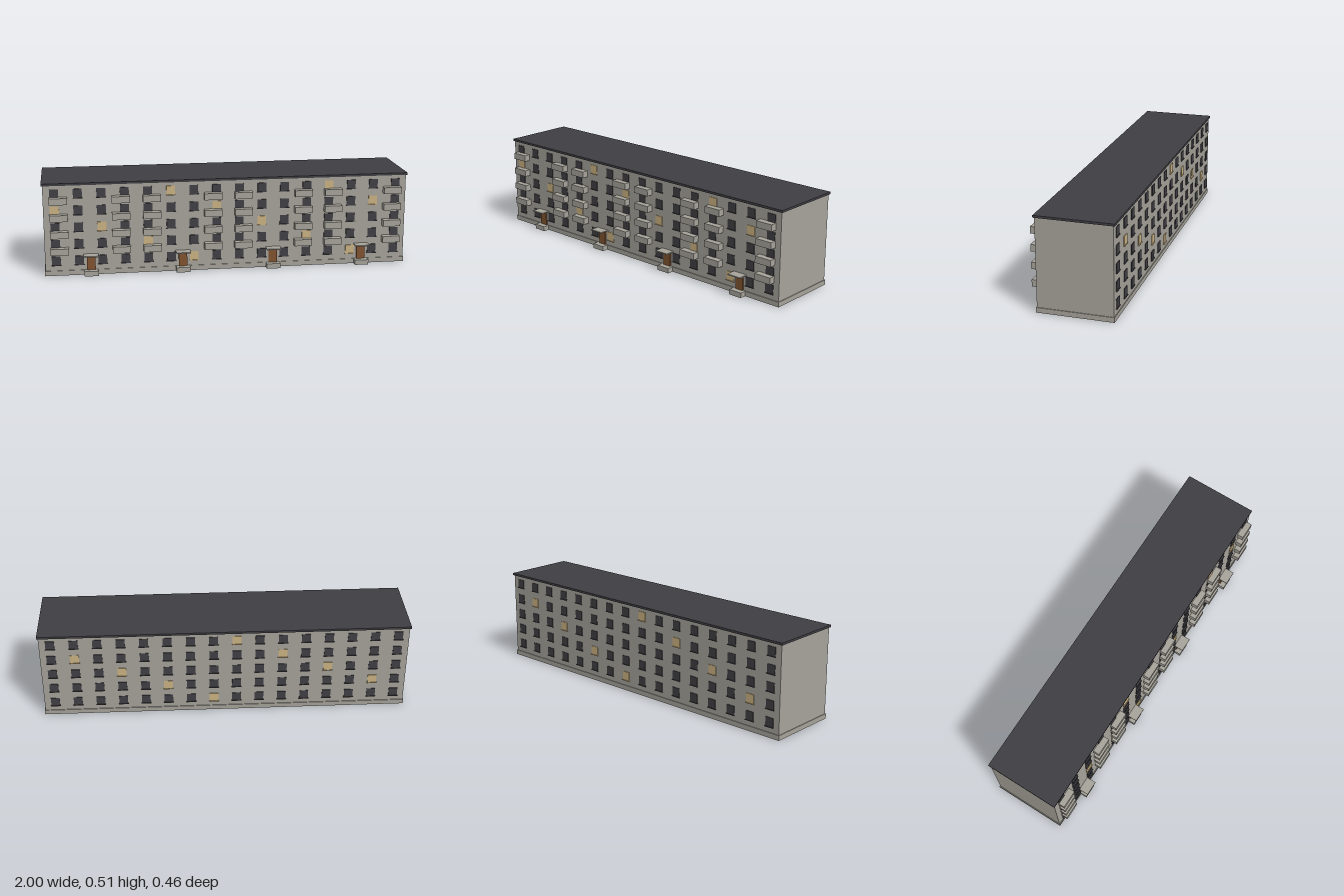
import * as THREE from 'three';

const mat = (name, color) => {
  const m = new THREE.MeshStandardMaterial({ color });
  m.name = name;
  return m;
};

export function createModel() {
  const wall = mat('concrete', 0xa6a39a);
  const roofing = mat('roofing', 0x3f3e43);
  const glass = mat('darkGlass', 0x404045);
  const lit = mat('litGlass', 0xcbb282);
  const wood = mat('doorWood', 0x80532f);

  const building = new THREE.Group();
  building.name = 'apartmentBlock';

  // Box given by its centre x, width, and its y and z ranges
  const box = (name, material, x, w, y0, y1, z0, z1, parent = building) => {
    const mesh = new THREE.Mesh(new THREE.BoxGeometry(w, y1 - y0, z1 - z0), material);
    mesh.position.set(x, (y0 + y1) / 2, (z0 + z1) / 2);
    mesh.name = name;
    parent.add(mesh);
    return mesh;
  };

  const FRONT = 0.1765, BACK = -0.2205;
  const columnX = (i) => (i - 7.5) * 0.1245;
  const floorY = (row) => 0.4275 - row * 0.0928; // row 0 is the top floor

  // Main volume
  box('walls', wall, 0, 1.986, 0.027, 0.498, BACK, FRONT);
  box('plinth', wall, 0, 1.994, 0, 0.027, BACK - 0.004, FRONT + 0.004);
  box('roof', roofing, 0, 2, 0.498, 0.51, BACK - 0.0075, FRONT + 0.0065);

  // Columns with a lit window, for each row from the top
  const litFront = [[5, 12], [0, 7, 14], [2, 9], [4, 11], [6, 13]];
  const litBack = [[7], [5, 14], [3, 12], [1, 10], [8]];

  // Windows with sills on both long sides
  for (const side of [1, -1]) {
    const windows = new THREE.Group();
    windows.name = side > 0 ? 'frontWindows' : 'backWindows';
    building.add(windows);
    const face = side > 0 ? FRONT : BACK;
    for (let row = 0; row < 5; row++) {
      for (let i = 0; i < 16; i++) {
        const isLit = (side > 0 ? litFront : litBack)[row].includes(i);
        const material = isLit ? lit : glass;
        const x = columnX(i), y = floorY(row);
        const layer = (name, w, y0, y1, depth) => box(name, material, x, w, y0, y1,
          Math.min(face, face + side * depth), Math.max(face, face + side * depth), windows);
        layer('window', 0.048, y, y + 0.051, 0.0035);
        layer('sill', 0.054, y - 0.001, y + 0.002, 0.0075);
      }
    }
  }

  // Balconies, offset from their window columns toward the next stairwell
  const balconies = new THREE.Group();
  balconies.name = 'balconies';
  building.add(balconies);
  for (const i of [0, 3, 4, 7, 8, 11, 12, 15]) {
    const x = columnX(i) + (i % 4 === 0 ? 0.021 : -0.021);
    for (let row = 0; row < 4; row++) {
      const y = floorY(row) - 0.028;
      box('balcony', wall, x, 0.097, y, y + 0.036, FRONT, 0.2125, balconies);
    }
  }

  // Four entrances: step, door and canopy
  for (let k = 0; k < 4; k++) {
    const entrance = new THREE.Group();
    entrance.name = 'entrance';
    building.add(entrance);
    const x = (k - 1.5) * 0.498;
    box('step', wall, x, 0.076, 0, 0.0272, FRONT, 0.216, entrance);
    box('door', wood, x, 0.046, 0.0272, 0.105, FRONT, 0.1845, entrance);
    box('canopy', wall, x, 0.08, 0.11, 0.116, FRONT, 0.23, entrance);
  }

  return building;
}
